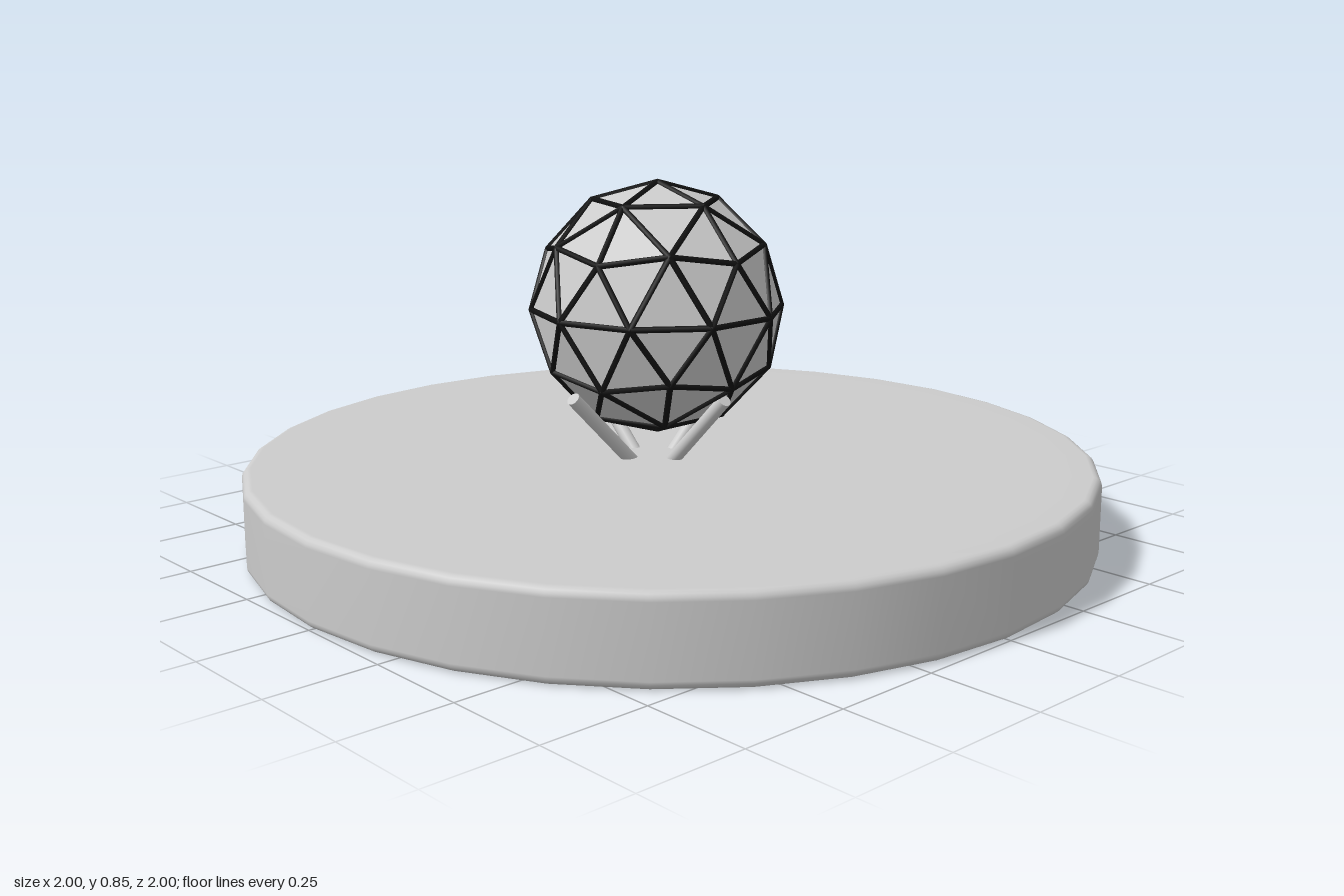
import * as THREE from 'three';
import { mergeGeometries } from 'three/addons/utils/BufferGeometryUtils.js';

const UP = new THREE.Vector3(0, 1, 0);

// Merge one capsule-ended or flat rod between each pair of points
function rod(a, b, radius, sides, round) {
  const dir = b.clone().sub(a);
  const length = dir.length();
  const g = round
    ? new THREE.CapsuleGeometry(radius, length, 2, sides)
    : new THREE.CylinderGeometry(radius, radius, length, sides);
  g.applyQuaternion(new THREE.Quaternion().setFromUnitVectors(UP, dir.normalize()));
  const mid = a.clone().add(b).multiplyScalar(0.5);
  return g.translate(mid.x, mid.y, mid.z);
}

function add(parent, name, geometry, material) {
  const mesh = new THREE.Mesh(geometry, material);
  mesh.name = name;
  parent.add(mesh);
  return mesh;
}

export function createModel() {
  const model = new THREE.Group();
  model.name = 'domeBallOnDisc';
  const grey = new THREE.MeshStandardMaterial({ color: 0xcccccc });
  const greyFlat = new THREE.MeshStandardMaterial({ color: 0xcccccc, flatShading: true });
  const dark = new THREE.MeshStandardMaterial({ color: 0x111111 });

  // Round base with softened rims
  const bevel = 0.02;
  const profile = [new THREE.Vector2(0, 0), new THREE.Vector2(0.93, 0)];
  for (let i = 0; i <= 4; i++) {
    const t = (i / 4) * Math.PI / 2;
    profile.push(new THREE.Vector2(1 - bevel + bevel * Math.sin(t), bevel - bevel * Math.cos(t)));
  }
  const upper = profile.slice().reverse().map((p) => new THREE.Vector2(p.x, 0.195 - p.y));
  add(model, 'base', new THREE.LatheGeometry([...profile, ...upper], 32), grey);

  // Four slanted support rods rising out of the base
  const supports = new THREE.Group();
  supports.name = 'supports';
  supports.position.set(-0.025, 0, 0.037);
  for (let i = 0; i < 4; i++) {
    const a = (i * Math.PI) / 2;
    const at = (r, y) => new THREE.Vector3(r * Math.cos(a), y, r * Math.sin(a));
    add(supports, 'supportRod', rod(at(0.03, 0.15), at(0.243, 0.363), 0.016, 16, false), grey);
  }
  model.add(supports);

  // Faceted ball with a vertex at the top
  const ball = new THREE.Group();
  ball.name = 'ball';
  ball.position.set(-0.01, 0.547, 0.035);
  const facets = new THREE.IcosahedronGeometry(0.293, 1);
  facets.rotateZ(-Math.atan2(2, 1 + Math.sqrt(5)));
  add(ball, 'panels', facets, greyFlat);

  // Dark frame bars along every facet edge
  const edges = new THREE.EdgesGeometry(facets, 1).attributes.position;
  const bars = [];
  for (let i = 0; i < edges.count; i += 2) {
    const a = new THREE.Vector3().fromBufferAttribute(edges, i);
    const b = new THREE.Vector3().fromBufferAttribute(edges, i + 1);
    bars.push(rod(a, b, 0.007, 6, true));
  }
  add(ball, 'frame', mergeGeometries(bars), dark);
  model.add(ball);

  return model;
}
